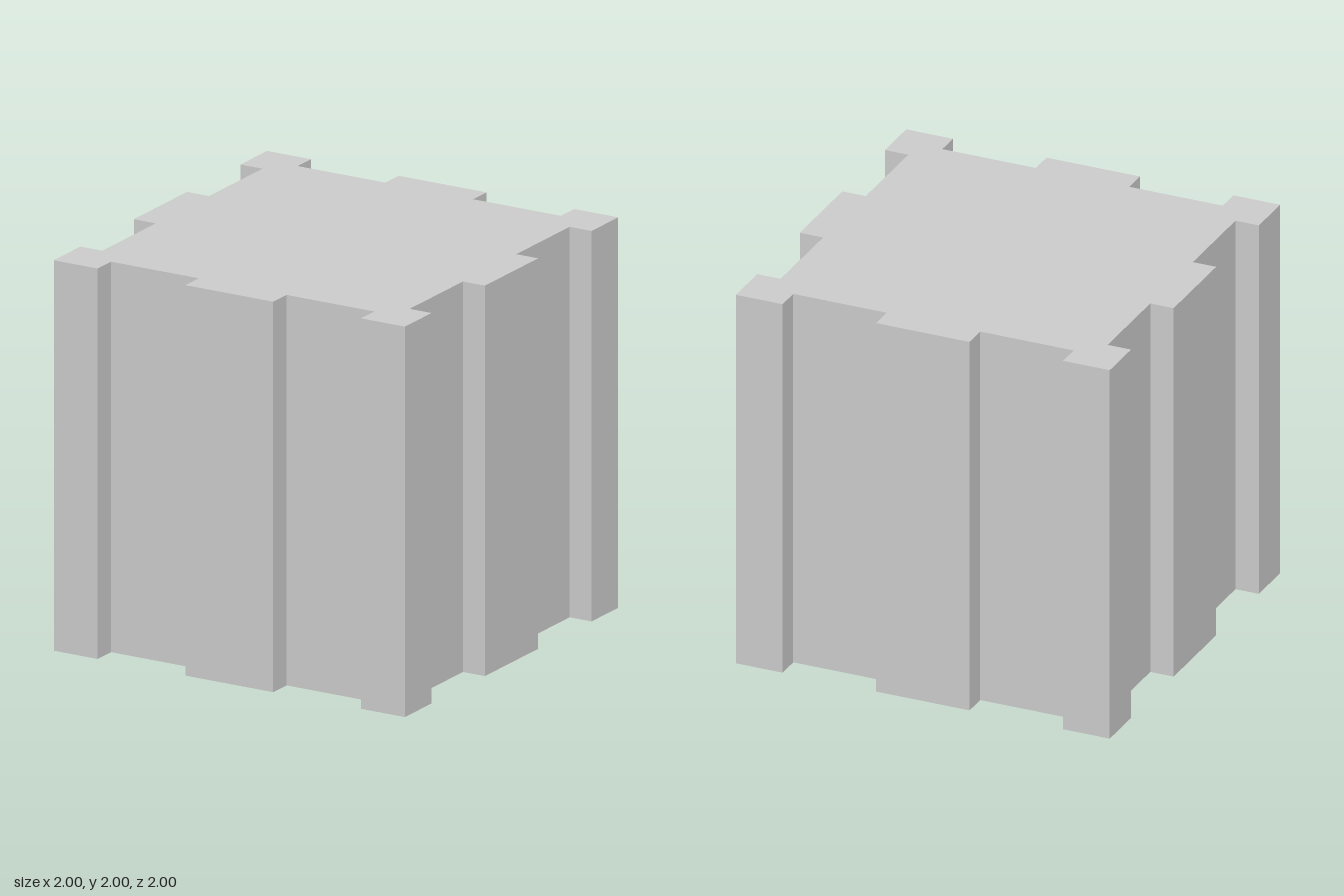
import * as THREE from 'three';

const HALF = 1;        // half width of the block
const FLOOR = 0.875;   // distance of the groove floors from the centre
const HEIGHT = 2;

// One side of the outline, with two grooves; the next side starts at its end
const side = [
  [-HALF, -HALF],
  [-0.75, -HALF], [-0.75, -FLOOR], [-0.25, -FLOOR], [-0.25, -HALF],
  [0.25, -HALF], [0.25, -FLOOR], [0.75, -FLOOR], [0.75, -HALF],
];

// The same side turned about the centre four times
function groovedOutline() {
  const points = [];
  for (let turn = 0; turn < 4; turn++) {
    for (const [px, py] of side) {
      let x = px, y = py;
      for (let i = 0; i < turn; i++) [x, y] = [-y, x];
      points.push(new THREE.Vector2(x, y));
    }
  }
  return new THREE.Shape(points);
}

export function createModel() {
  const group = new THREE.Group();
  group.name = 'groovedBlock';

  // Solid block with vertical grooves on all four sides
  const geometry = new THREE.ExtrudeGeometry(groovedOutline(), { depth: HEIGHT, bevelEnabled: false });
  geometry.rotateX(-Math.PI / 2);

  const block = new THREE.Mesh(geometry, new THREE.MeshStandardMaterial({ color: 0xcccccc, flatShading: true }));
  block.name = 'block';
  group.add(block);
  return group;
}
